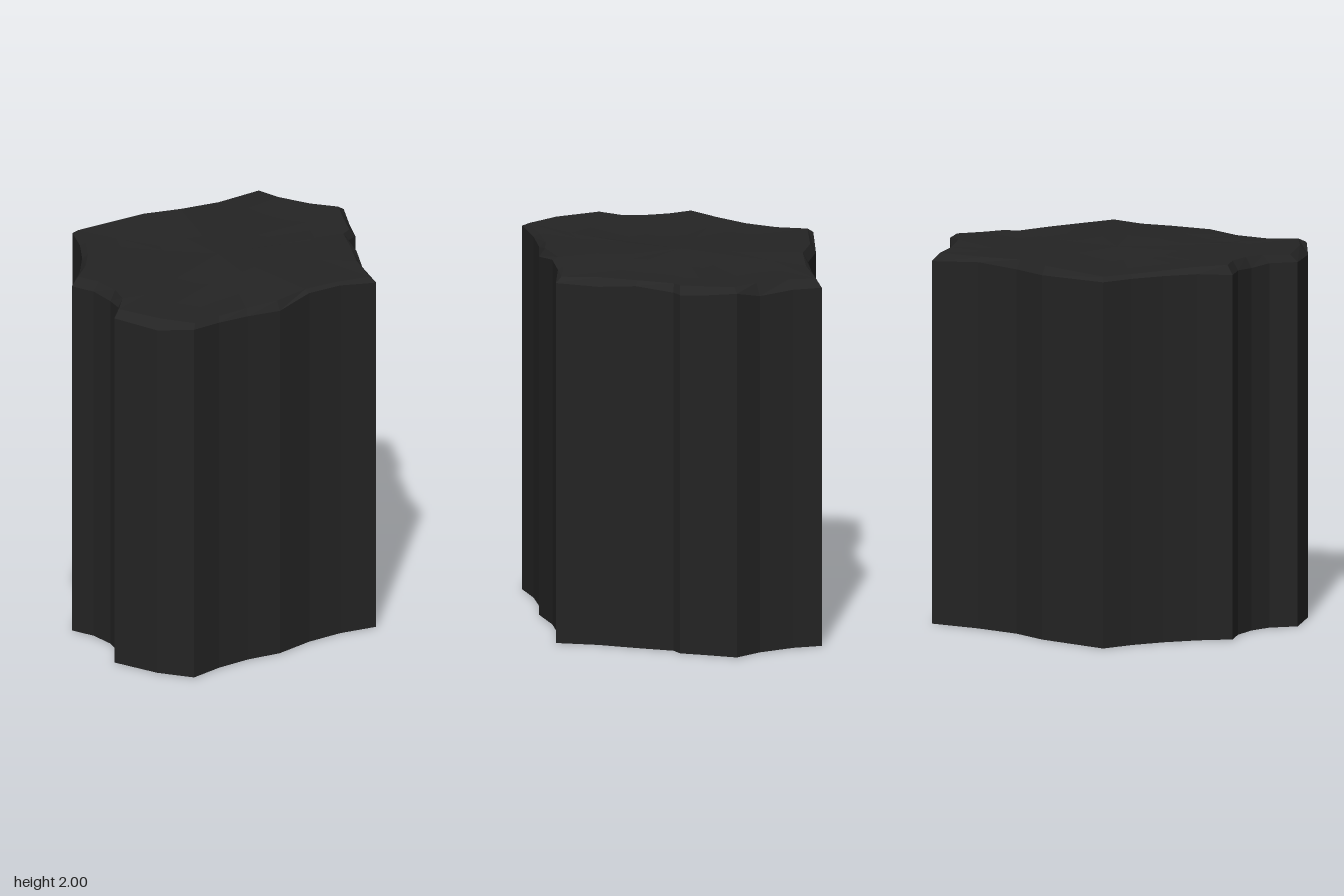
import * as THREE from 'three';

// Outline seen from above, clockwise from the back corner: x, z, height of the wall's upper edge
const OUTLINE = [
  [-0.255, -0.815, 1.96], [0.14, -0.70, 1.95], [0.33, -0.595, 1.95], [0.57, -0.535, 1.96],
  [0.85, -0.50, 1.94], [0.845, -0.345, 1.94], [0.885, -0.145, 1.93], [0.955, 0.005, 1.97],
  [0.86, 0.135, 1.95], [0.775, 0.26, 1.94], [0.71, 0.275, 1.94], [0.59, 0.445, 1.96],
  [0.465, 0.61, 1.94], [0.355, 0.81, 1.95], [0.16, 0.735, 1.97], [-0.04, 0.70, 1.975],
  [-0.265, 0.70, 1.94], [-0.445, 0.64, 1.945], [-0.635, 0.61, 1.955], [-0.825, 0.61, 1.97],
  [-0.91, 0.425, 1.94], [-0.96, 0.16, 1.95], [-0.835, 0.07, 1.95], [-0.78, -0.04, 1.94],
  [-0.76, -0.18, 1.95], [-0.785, -0.315, 1.95], [-0.625, -0.41, 1.96], [-0.48, -0.53, 1.96],
  [-0.355, -0.665, 1.96],
];

// Gently uneven height of the cap
const capHeight = (x, z) =>
  1.987 + 0.008 * Math.sin(7 * x + 2 * z + 1) + 0.005 * Math.sin(6 * z - 4 * x);

// Ring of cap points, shrunk toward the middle
const capRing = (s) => OUTLINE.map(([x, z]) => [x * s, capHeight(x * s, z * s), z * s]);

// Faceted band through closed rings, listed from outer/lower to inner/upper
function bands(name, rings, material) {
  const pos = [];
  const n = OUTLINE.length;
  for (let r = 0; r < rings.length - 1; r++) {
    for (let i = 0; i < n; i++) {
      const j = (i + 1) % n;
      const a0 = rings[r][i], b0 = rings[r][j];
      const a1 = rings[r + 1][i], b1 = rings[r + 1][j];
      pos.push(...b0, ...a0, ...a1);
      // skip the collapsed triangle at the centre point
      if (a1[0] !== b1[0] || a1[2] !== b1[2]) pos.push(...b0, ...a1, ...b1);
    }
  }
  const geometry = new THREE.BufferGeometry();
  geometry.setAttribute('position', new THREE.Float32BufferAttribute(pos, 3));
  geometry.computeVertexNormals();
  const mesh = new THREE.Mesh(geometry, material);
  mesh.name = name;
  return mesh;
}

export function createModel() {
  const group = new THREE.Group();
  group.name = 'rockColumn';
  const stone = new THREE.MeshStandardMaterial({
    color: 0x242424, side: THREE.DoubleSide, flatShading: true,
  });
  stone.name = 'dark stone';

  const base = OUTLINE.map(([x, z]) => [x, 0, z]);
  const rim = OUTLINE.map(([x, z, y]) => [x, y, z]);

  // Upright faceted walls, open underneath
  group.add(bands('walls', [base, rim], stone));
  // Chipped bevel around the upper edge
  group.add(bands('bevel', [rim, capRing(0.957)], stone));
  // Uneven cap closing the column
  group.add(bands('cap', [0.957, 0.7, 0.4, 0].map(capRing), stone));
  return group;
}
